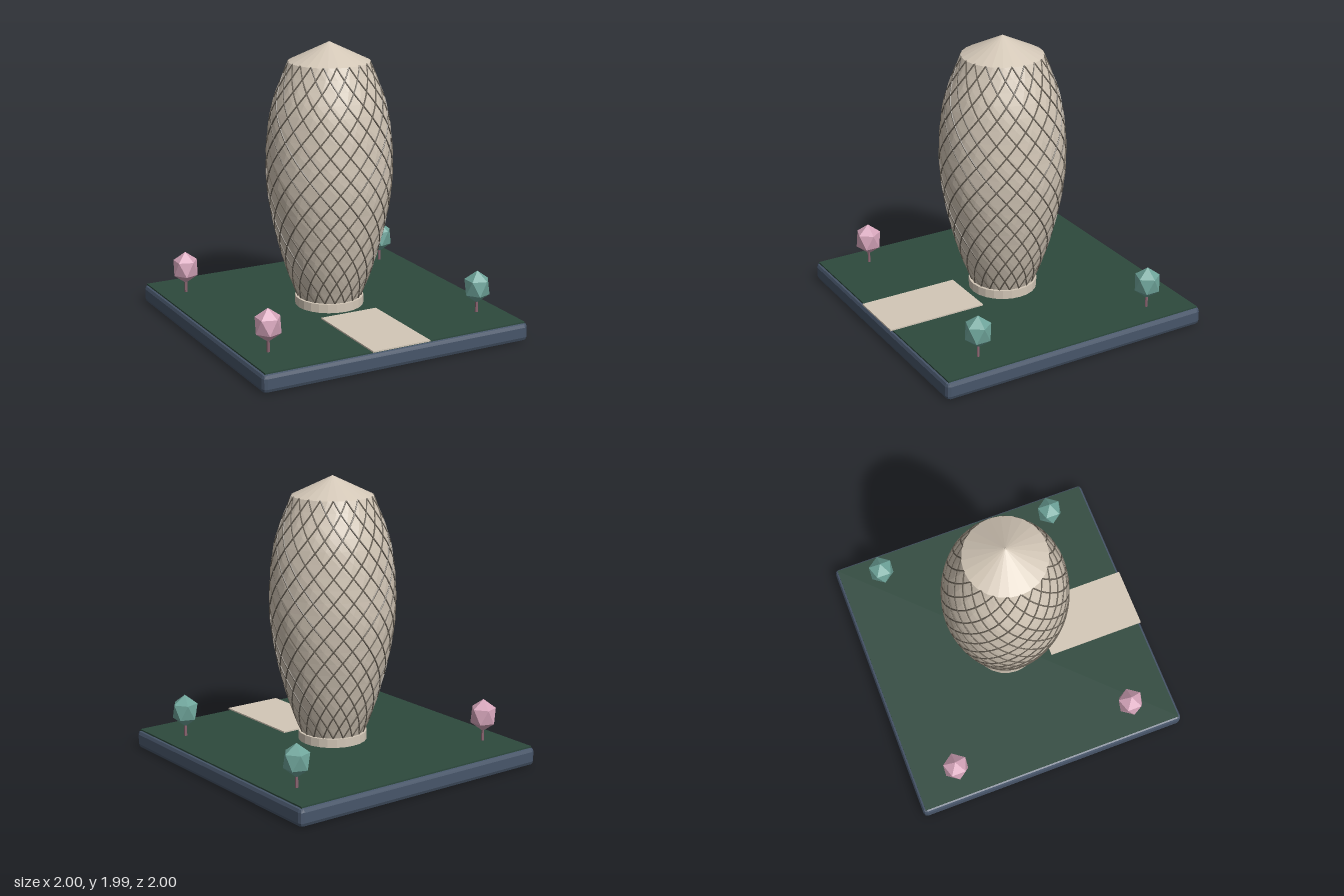
import * as THREE from 'three';
import { RoundedBoxGeometry } from 'three/addons/geometries/RoundedBoxGeometry.js';

const SIDES = 24, STRANDS = 20, ROWS = 20;
const BOTTOM = 0.2, TOP = 1.86;

function material(name, color) {
  const m = new THREE.MeshStandardMaterial({ color, flatShading: true });
  m.name = name;
  return m;
}

function add(parent, name, geometry, mat, x = 0, y = 0, z = 0) {
  const mesh = new THREE.Mesh(geometry, mat);
  mesh.name = name;
  mesh.position.set(x, y, z);
  parent.add(mesh);
  return mesh;
}

export function createModel() {
  const group = new THREE.Group();
  group.name = 'towerOnPlot';
  const slate = material('slate', 0x475569);
  const grass = material('grass', 0x2d493d);
  const stone = material('stone', 0xd3c7b7);
  const lattice = material('lattice', 0x6e665b);
  const teal = material('tealLeaves', 0x6fa59b);
  const pink = material('pinkLeaves', 0xd6a5bb);
  const bark = material('bark', 0x8a6470);

  // Plot: chamfered slab, lawn and entrance path
  add(group, 'baseSlab', new RoundedBoxGeometry(2, 0.13, 2, 1, 0.03), slate, 0, 0.065, 0);
  add(group, 'lawn', new THREE.BoxGeometry(1.96, 0.02, 1.96), grass, 0, 0.126, 0);
  add(group, 'path', new THREE.BoxGeometry(0.43, 0.01, 0.715), stone, 0, 0.142, 0.6425);

  // Tower outline, as radius against height
  const outline = new THREE.SplineCurve([
    [0.222, 0.2], [0.298, 0.4], [0.356, 0.6], [0.4, 0.8], [0.428, 1.0],
    [0.432, 1.2], [0.417, 1.4], [0.378, 1.6], [0.276, 1.86],
  ].map(([r, y]) => new THREE.Vector2(r, y)));
  const profile = outline.getSpacedPoints(ROWS);

  // Plinth and faceted body, turned gradually with height
  const tower = new THREE.Group();
  tower.name = 'tower';
  group.add(tower);
  add(tower, 'plinth', new THREE.CylinderGeometry(0.24, 0.24, 0.062, SIDES), stone, 0, 0.169, 0);
  const body = new THREE.LatheGeometry(profile, SIDES);
  const pos = body.attributes.position;
  const v = new THREE.Vector3(), up = new THREE.Vector3(0, 1, 0);
  for (let i = 0; i < pos.count; i++) {
    v.fromBufferAttribute(pos, i);
    v.applyAxisAngle(up, (v.y - BOTTOM) * 0.8);
    pos.setXYZ(i, v.x, v.y, v.z);
  }
  add(tower, 'towerBody', body, stone);

  // Diagonal lattice: mirrored families of rising spirals
  for (const dir of [1, -1]) {
    const points = profile.map(p => {
      const a = dir * Math.PI * (p.y - BOTTOM) / (TOP - BOTTOM);
      return new THREE.Vector3(p.x * Math.sin(a), p.y, p.x * Math.cos(a));
    });
    const strand = new THREE.TubeGeometry(new THREE.CatmullRomCurve3(points), 40, 0.0055, 5);
    for (let i = 0; i < STRANDS; i++) {
      add(tower, 'latticeStrand', strand, lattice).rotation.y = i * 2 * Math.PI / STRANDS;
    }
  }

  // Conical roof with a small finial
  add(tower, 'roof', new THREE.CylinderGeometry(0.01, 0.282, 0.13, SIDES), stone, 0, 1.923, 0);
  add(tower, 'finial', new THREE.SphereGeometry(0.012, 8, 6), stone, 0, 1.98, 0);

  // Trees: an icosahedron standing on one point, over a thin trunk
  const crown = new THREE.IcosahedronGeometry(1, 0);
  crown.rotateZ(-Math.atan(2 / (1 + Math.sqrt(5))));
  crown.scale(0.098, 0.116, 0.098);
  const trunk = new THREE.CylinderGeometry(0.009, 0.011, 0.1, 6);
  for (const [x, leaves] of [[-0.8, pink], [0.8, teal]]) {
    for (const z of [-0.68, 0.66]) {
      const tree = new THREE.Group();
      tree.name = 'tree';
      tree.position.set(x, 0.135, z);
      add(tree, 'trunk', trunk, bark, 0, 0.05, 0);
      add(tree, 'crown', crown, leaves, 0, 0.185, 0);
      group.add(tree);
    }
  }
  return group;
}
